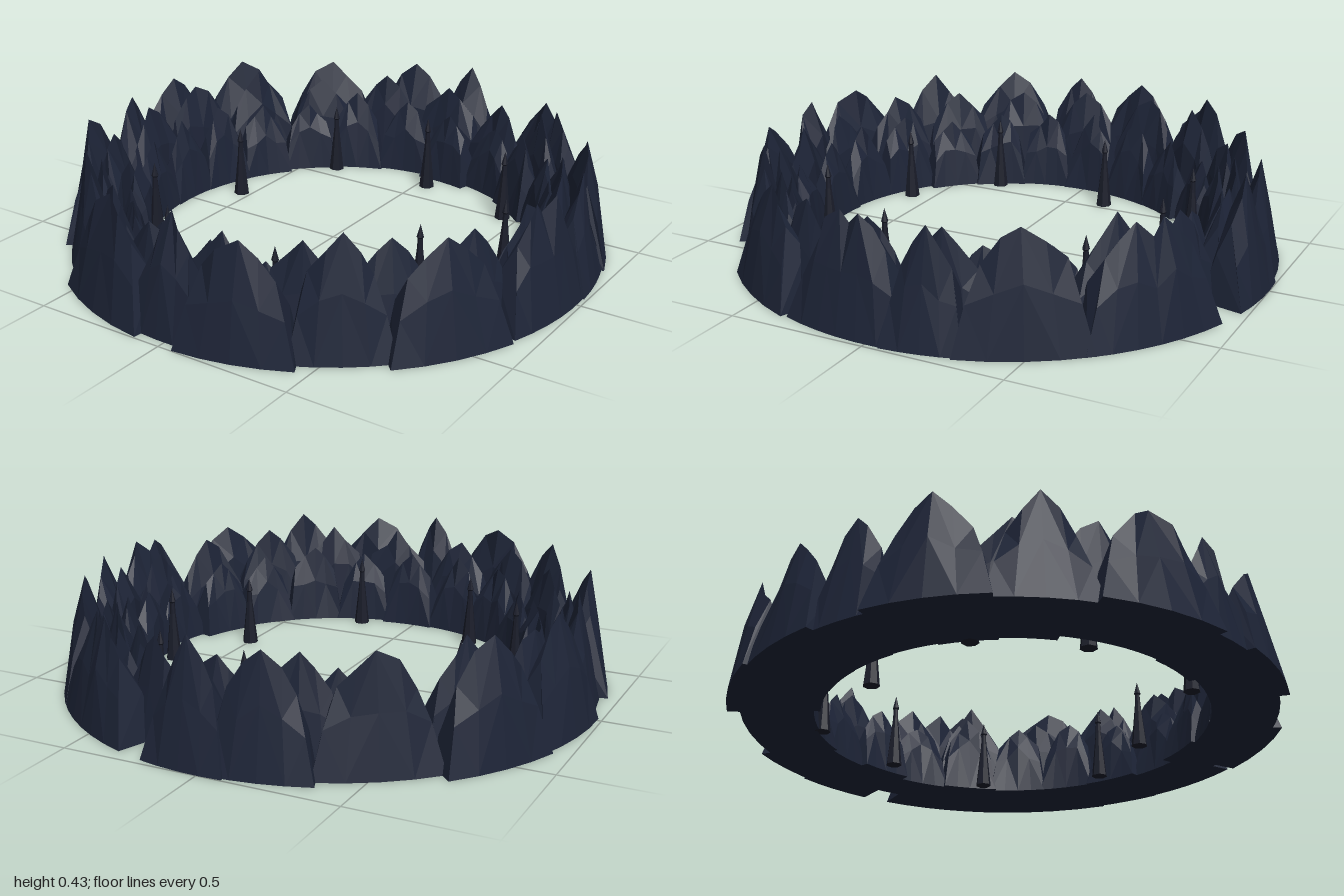
import * as THREE from 'three';

const rockMat = new THREE.MeshStandardMaterial({ color: 0x1d2437, flatShading: true });
const spireMat = new THREE.MeshStandardMaterial({ color: 0x1a1d2a, flatShading: true });

let seed = 29;
const rand = () => {
  seed = (seed * 16807) % 2147483647;
  return seed / 2147483647;
};
const vary = (s) => (rand() - 0.5) * 2 * s;
const polar = (deg, r, y) => {
  const a = THREE.MathUtils.degToRad(deg);
  return new THREE.Vector3(r * Math.sin(a), y, r * Math.cos(a));
};

// One curved crag: cross-sections swept along an arc, with sloping ends and one or more peaks
function crag(from, to, rOut, rIn, height, peaks) {
  const mid = (from + to) / 2;
  const depth = rOut - rIn;
  const columns = peaks * 2 + 2;
  const rows = [];
  for (let i = 0; i <= columns; i++) {
    const base = from + ((to - from) * i) / columns;
    const at = (shrink) => mid + (base - mid) * shrink;
    const edge = i === 0 || i === columns;
    const isPeak = !edge && i % 2 === 0;
    const level = edge ? 0.68 : isPeak ? 1 : peaks > 1 && i > 1 && i < columns - 1 ? 0.85 : 0.87;
    const y = height * (level + vary(0.04));
    const ridge = rOut - depth * (0.52 + vary(0.08));
    rows.push([
      polar(base, rOut, 0),
      polar(at(0.83), rOut - depth * (0.26 + vary(0.04)), y * (0.56 + vary(0.05))),
      polar(at(0.66) + vary(0.5), ridge, y),
      polar(at(0.82), rIn + depth * (0.2 + vary(0.06)), y * (0.62 + vary(0.08))),
      polar(base, rIn, 0),
    ]);
  }
  const pos = [];
  const tri = (a, b, c) => pos.push(...a.toArray(), ...b.toArray(), ...c.toArray());
  for (let i = 0; i < columns; i++) {
    for (let k = 0; k < 5; k++) {
      const n = (k + 1) % 5;
      const [a, b, c, d] = [rows[i][k], rows[i + 1][k], rows[i + 1][n], rows[i][n]];
      if (i % 2 || k === 4) { tri(a, b, c); tri(a, c, d); }
      else { tri(a, b, d); tri(b, c, d); }
    }
  }
  const [s, e] = [rows[0], rows[columns]];
  for (let k = 1; k < 4; k++) {
    tri(s[0], s[k], s[k + 1]);
    tri(e[0], e[k + 1], e[k]);
  }
  const geo = new THREE.BufferGeometry();
  geo.setAttribute('position', new THREE.Float32BufferAttribute(pos, 3));
  geo.computeVertexNormals();
  return geo;
}

// Outer crags: start angle, end angle (degrees from the front), outer radius, peaks
const OUTER = [
  [3, 27, 1, 1], [25, 46, 0.965, 1], [44, 69, 0.998, 1], [70, 97, 0.985, 2],
  [93, 109, 0.99, 1], [107, 133, 1, 1], [131, 161, 1, 2], [167, 185, 1, 1],
  [181, 202, 0.99, 1], [201, 227, 0.955, 1], [226, 250, 1, 1], [248, 271, 0.985, 1],
  [268, 286, 0.955, 1], [283, 308, 0.985, 1], [306, 329, 0.96, 1], [327, 354, 1, 1],
  [350, 366, 0.97, 1],
];

// Spires: x, z, height
const SPIRES = [
  [-0.37, -0.58, 0.27], [0.04, -0.62, 0.29], [0.44, -0.51, 0.27],
  [0.66, -0.09, 0.28], [0.5, 0.22, 0.26], [0.21, 0.65, 0.27],
  [-0.29, 0.59, 0.27], [-0.57, 0.33, 0.28], [-0.54, -0.15, 0.27],
];

export function createModel() {
  const model = new THREE.Group();
  const ring = (name) => {
    const g = new THREE.Group();
    g.name = name;
    model.add(g);
    return g;
  };
  const add = (group, geo, mat, name) => {
    const m = new THREE.Mesh(geo, mat);
    m.name = name;
    group.add(m);
  };

  // Tall outer wall
  const outer = ring('outerCrags');
  for (const [from, to, r, peaks] of OUTER) {
    add(outer, crag(from, to, r, r - 0.16, 0.41 + vary(0.015), peaks), rockMat, 'outerCrag');
  }

  // Middle wall, closing the valleys of the outer one
  const middle = ring('middleCrags');
  for (let i = 0; i < 19; i++) {
    const a = 168 + (i * 360) / 19;
    const r = 0.9 + vary(0.015);
    add(middle, crag(a, a + 22, r, r - 0.13, 0.36 + vary(0.025), 1), rockMat, 'middleCrag');
  }

  // Low inner wall, slightly off centre towards +x
  const inner = ring('innerCrags');
  for (let i = 0; i < 23; i++) {
    const a = 166 + (i * 360) / 23;
    const r = 0.705 + 0.025 * Math.sin(THREE.MathUtils.degToRad(a + 8)) + vary(0.022);
    add(inner, crag(a, a + 17, r + 0.12, r, 0.28 + vary(0.03), 1), rockMat, 'innerCrag');
  }

  // Slim spires standing inside the ring
  const spires = ring('spires');
  const profile = [[0, 0], [0.03, 0], [0.024, 0.2], [0.011, 0.65], [0.009, 0.8], [0.013, 0.82], [0, 1]];
  for (const [x, z, h] of SPIRES) {
    const pts = profile.map(([r, y]) => new THREE.Vector2(r, y * h));
    add(spires, new THREE.LatheGeometry(pts, 7).translate(x, 0, z), spireMat, 'spire');
  }
  return model;
}
